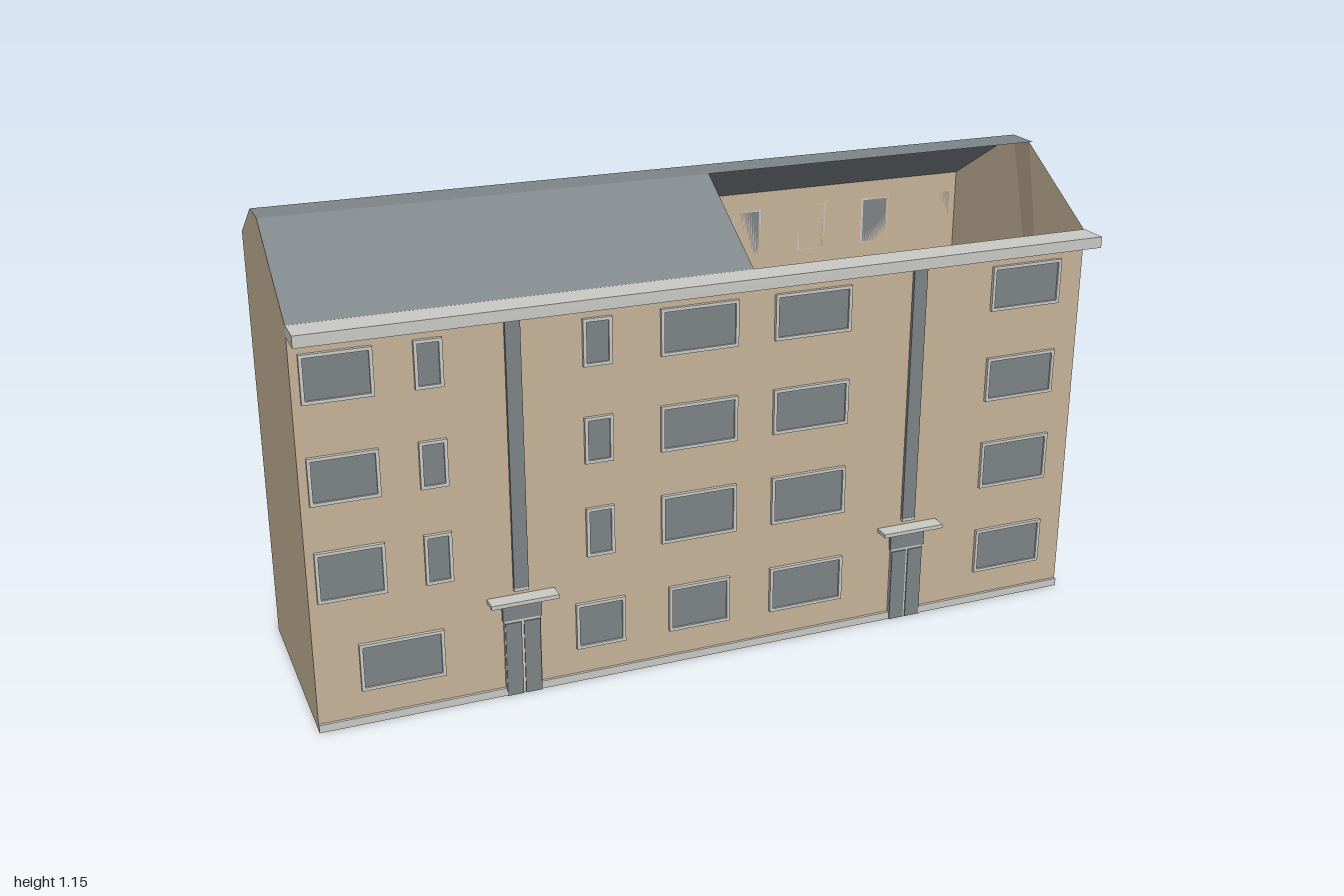
import * as THREE from 'three';

const mat = (name, color, side = THREE.FrontSide) => {
  const m = new THREE.MeshStandardMaterial({ color, side });
  m.name = name;
  return m;
};

export function createModel() {
  const group = new THREE.Group();
  group.name = 'apartmentBlock';
  const wallMat = mat('tan render', 0xc6b298, THREE.DoubleSide);
  const roofMat = mat('slate grey', 0x7e8589, THREE.DoubleSide);
  const glassMat = mat('window grey', 0x7c8286);
  const trimMat = mat('light trim', 0xc9cac5);

  const FRONT = 0.285, EAVE = 0.99, RIDGE = 1.155, SPLIT = 0.085;
  const R0 = 0.01, R1 = -0.08, BACK = -0.36;
  // roof height above any depth
  const roofY = (z) => {
    if (z > R0) return RIDGE - (RIDGE - EAVE) * (z - R0) / (FRONT - R0);
    if (z < R1) return RIDGE - (RIDGE - EAVE) * (R1 - z) / (R1 - BACK);
    return RIDGE;
  };
  const onRoof = (x, z) => [x, roofY(z), z];

  // one mesh from flat convex polygons
  function faces(name, material, polygons) {
    const pos = [];
    for (const p of polygons)
      for (let i = 1; i < p.length - 1; i++) pos.push(...p[0], ...p[i], ...p[i + 1]);
    const g = new THREE.BufferGeometry();
    g.setAttribute('position', new THREE.Float32BufferAttribute(pos, 3));
    g.computeVertexNormals();
    const mesh = new THREE.Mesh(g, material);
    mesh.name = name;
    group.add(mesh);
  }

  function box(name, material, x0, x1, y0, y1, z0, z1, parent = group) {
    const mesh = new THREE.Mesh(new THREE.BoxGeometry(x1 - x0, y1 - y0, z1 - z0), material);
    mesh.position.set((x0 + x1) / 2, (y0 + y1) / 2, (z0 + z1) / 2);
    mesh.name = name;
    parent.add(mesh);
  }

  // hollow shell with a stepped rear
  const rear = [[1, BACK], [-0.13, BACK], [-0.2, -0.31], [-0.36, -0.31], [-0.36, -0.24], [-1, -0.24]];
  const wall = ([xa, za], [xb, zb]) => [[xa, 0, za], [xb, 0, zb], onRoof(xb, zb), onRoof(xa, za)];
  faces('frontWall', wallMat, [wall([-1, FRONT], [0.99, FRONT])]);
  faces('rearWalls', wallMat, rear.slice(1).map((p, i) => wall(rear[i], p)));

  // end walls and the inner cross wall
  const gable = (xf, xb, zb) => [[xf, 0, FRONT], [xb, 0, zb], onRoof(xb, zb),
    onRoof(xb, R1), onRoof(xf, R0), onRoof(xf, FRONT)];
  faces('leftGable', wallMat, [gable(0.99, 1, BACK)]);
  faces('rightGable', wallMat, [gable(-1, -1, -0.24)]);
  faces('crossWall', wallMat, [gable(SPLIT, SPLIT, BACK)]);

  // ground slab
  const outline = [[-1, FRONT], [0.99, FRONT], ...rear].map(([x, z]) => new THREE.Vector2(x, -z));
  const slab = new THREE.Mesh(new THREE.ShapeGeometry(new THREE.Shape(outline)), wallMat);
  slab.rotation.x = -Math.PI / 2;
  slab.name = 'groundFloor';
  group.add(slab);

  // roof: front slope covers one half only, rear slope is broken over the step
  const plane = (pts) => pts.map(([x, z]) => onRoof(x, z));
  faces('frontRoof', roofMat, [plane([[-1, FRONT], [SPLIT, FRONT], [SPLIT, R0], [-1, R0]])]);
  faces('ridge', roofMat, [plane([[-1, R0], [1, R0], [1, R1], [-1, R1]])]);
  faces('rearRoof', roofMat, [
    plane([[SPLIT, R1], [1, R1], [1, BACK], [-0.13, BACK], [SPLIT, -0.1]]),
    plane([[SPLIT, -0.1], [SPLIT, R1], [-1, R1], [-0.36, -0.25], [-0.2, -0.31]]),
  ]);

  // cornice and plinth
  box('cornice', trimMat, -1, 0.99, 0.965, 0.993, FRONT, 0.36);
  box('plinth', trimMat, -1, 0.99, 0, 0.02, FRONT, 0.292);

  // window: glass pane with four frame bars, dir is the facing along z
  function window(name, x0, x1, y0, y1, z, dir, t = 0.008) {
    const w = new THREE.Group();
    w.name = name;
    const span = (d) => (dir > 0 ? [z, z + d] : [z - d, z]);
    box('glass', glassMat, x0 + t, x1 - t, y0 + t, y1 - t, ...span(0.004), w);
    for (const [a, b] of [[x0, x0 + t], [x1 - t, x1]])
      box('frameSide', trimMat, a, b, y0, y1, ...span(0.009), w);
    for (const [a, b] of [[y0, y0 + t], [y1 - t, y1]])
      box('frameRail', trimMat, x0 + t, x1 - t, a, b, ...span(0.009), w);
    group.add(w);
  }

  // front windows
  const upper = [[-0.98, -0.82], [-0.73, -0.665], [-0.34, -0.27], [-0.15, 0.045], [0.14, 0.34], [0.73, 0.925]];
  const lower = [[-0.895, -0.695], [-0.37, -0.245], [-0.13, 0.03], [0.14, 0.34], [0.73, 0.925]];
  for (const [y0, y1] of [[0.81, 0.925], [0.57, 0.685], [0.33, 0.455]])
    for (const [a, b] of upper) window('frontWindow', a, b, y0, y1, FRONT, 1);
  for (const [a, b] of lower) window('groundWindow', a, b, 0.088, 0.208, FRONT, 1);

  // rear windows on the three wall planes
  const rearColumns = [[0.945, BACK], [0.745, BACK], [0.55, BACK], [0.355, BACK], [0.165, BACK],
    [-0.02, BACK], [-0.275, -0.31], [-0.42, -0.24], [-0.57, -0.24]];
  for (const [x, z] of rearColumns)
    for (const y of [0.07, 0.335, 0.572, 0.812])
      window('rearWindow', x - 0.042, x + 0.042, y, y + 0.13, z, -1, 0.006);

  // entrances with canopy, door leaves and stairwell glazing above
  for (const x of [-0.505, 0.525]) {
    box('canopy', trimMat, x - 0.083, x + 0.083, 0.253, 0.263, FRONT, 0.325);
    box('transom', glassMat, x - 0.048, x + 0.048, 0.2, 0.24, FRONT, 0.294);
    box('doorSurround', trimMat, x - 0.045, x + 0.045, 0, 0.2, FRONT, 0.292);
    for (const s of [-1, 1])
      box('doorLeaf', glassMat, x + s * 0.023 - 0.02, x + s * 0.023 + 0.02, 0, 0.193, FRONT, 0.295);
    box('stairSill', trimMat, x - 0.018, x + 0.018, 0.275, 0.283, FRONT, 0.295);
    box('stairGlazing', glassMat, x - 0.018, x + 0.018, 0.283, 0.95, FRONT, 0.294);
  }
  return group;
}
